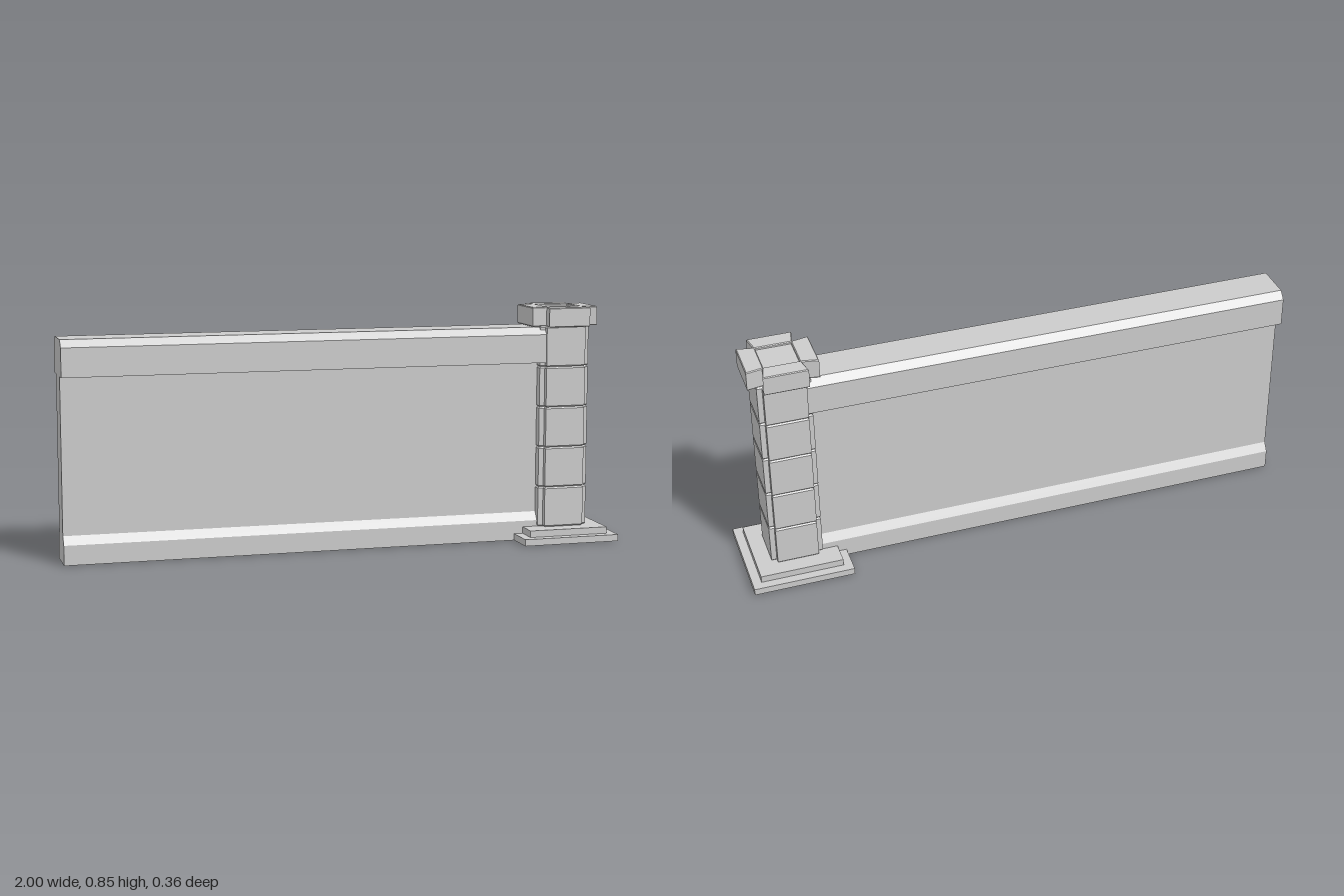
import * as THREE from 'three';

const material = new THREE.MeshStandardMaterial({ color: 0xcccccc, flatShading: true });
const PILLAR_X = 0.82;

function addMesh(parent, name, geometry, x = 0, y = 0, z = 0) {
  const mesh = new THREE.Mesh(geometry, material);
  mesh.name = name;
  mesh.position.set(x, y, z);
  parent.add(mesh);
  return mesh;
}

const toShape = (points) => new THREE.Shape(points.map(([x, y]) => new THREE.Vector2(x, y)));

// Upright prism from a plan outline, standing on y = 0, with chamfered rims
function bevelledPrism(points, height, bevel) {
  const geometry = new THREE.ExtrudeGeometry(toShape(points), {
    depth: height - 2 * bevel,
    bevelEnabled: true,
    bevelThickness: bevel,
    bevelSize: bevel,
    bevelOffset: -bevel,
    bevelSegments: 1,
  });
  return geometry.translate(0, 0, bevel).rotateX(-Math.PI / 2);
}

// Square plan with a small notch cut from each corner
function notchedSquare(half, arm) {
  const points = [];
  for (let i = 0; i < 4; i++) {
    const c = Math.round(Math.cos((i * Math.PI) / 2));
    const s = Math.round(Math.sin((i * Math.PI) / 2));
    for (const [x, y] of [[half, -arm], [half, arm], [arm, arm]]) {
      points.push([x * c - y * s, x * s + y * c]);
    }
  }
  return points;
}

function createWall() {
  // Half profile (z, y): plinth, thin panel, chamfered coping
  const half = [
    [0.066, 0], [0.066, 0.07], [0.046, 0.1], [0.046, 0.65],
    [0.088, 0.65], [0.088, 0.752], [0.064, 0.778],
  ];
  const mirrored = half.map(([z, y]) => [-z, y]).reverse();
  const geometry = new THREE.ExtrudeGeometry(toShape([...half, ...mirrored]), {
    depth: 1 + PILLAR_X - 0.06,
    bevelEnabled: false,
  });
  geometry.rotateY(Math.PI / 2);
  const wall = new THREE.Group();
  wall.name = 'wall';
  addMesh(wall, 'wallPanel', geometry, -1);
  return wall;
}

function createPillar() {
  const pillar = new THREE.Group();
  pillar.name = 'pillar';
  pillar.position.x = PILLAR_X;

  // Stepped base
  addMesh(pillar, 'lowerBase', new THREE.BoxGeometry(0.36, 0.024, 0.36), 0, 0.012, 0);
  addMesh(pillar, 'upperBase', new THREE.BoxGeometry(0.296, 0.024, 0.296), 0, 0.036, 0);

  // Five stacked blocks with chamfered joints
  const count = 5;
  const bottom = 0.048;
  const blockHeight = (0.781 - bottom) / count;
  const block = bevelledPrism(notchedSquare(0.093, 0.074), blockHeight, 0.005);
  for (let i = 0; i < count; i++) {
    addMesh(pillar, `shaftBlock${i + 1}`, block, 0, bottom + i * blockHeight, 0);
  }

  // Cap: four flared blocks around a slightly sunken centre
  const cap = new THREE.Group();
  cap.name = 'cap';
  cap.position.y = 0.78;
  pillar.add(cap);
  const arm = bevelledPrism(
    [[0.062, -0.066], [0.124, -0.078], [0.124, 0.078], [0.062, 0.066]], 0.07, 0.003);
  for (let i = 0; i < 4; i++) {
    addMesh(cap, `capBlock${i + 1}`, arm).rotation.y = (i * Math.PI) / 2;
  }
  addMesh(cap, 'capCentre', new THREE.BoxGeometry(0.134, 0.06, 0.134), 0, 0.031, 0);
  return pillar;
}

export function createModel() {
  const model = new THREE.Group();
  model.name = 'wallWithPillar';
  model.add(createWall(), createPillar());
  return model;
}
